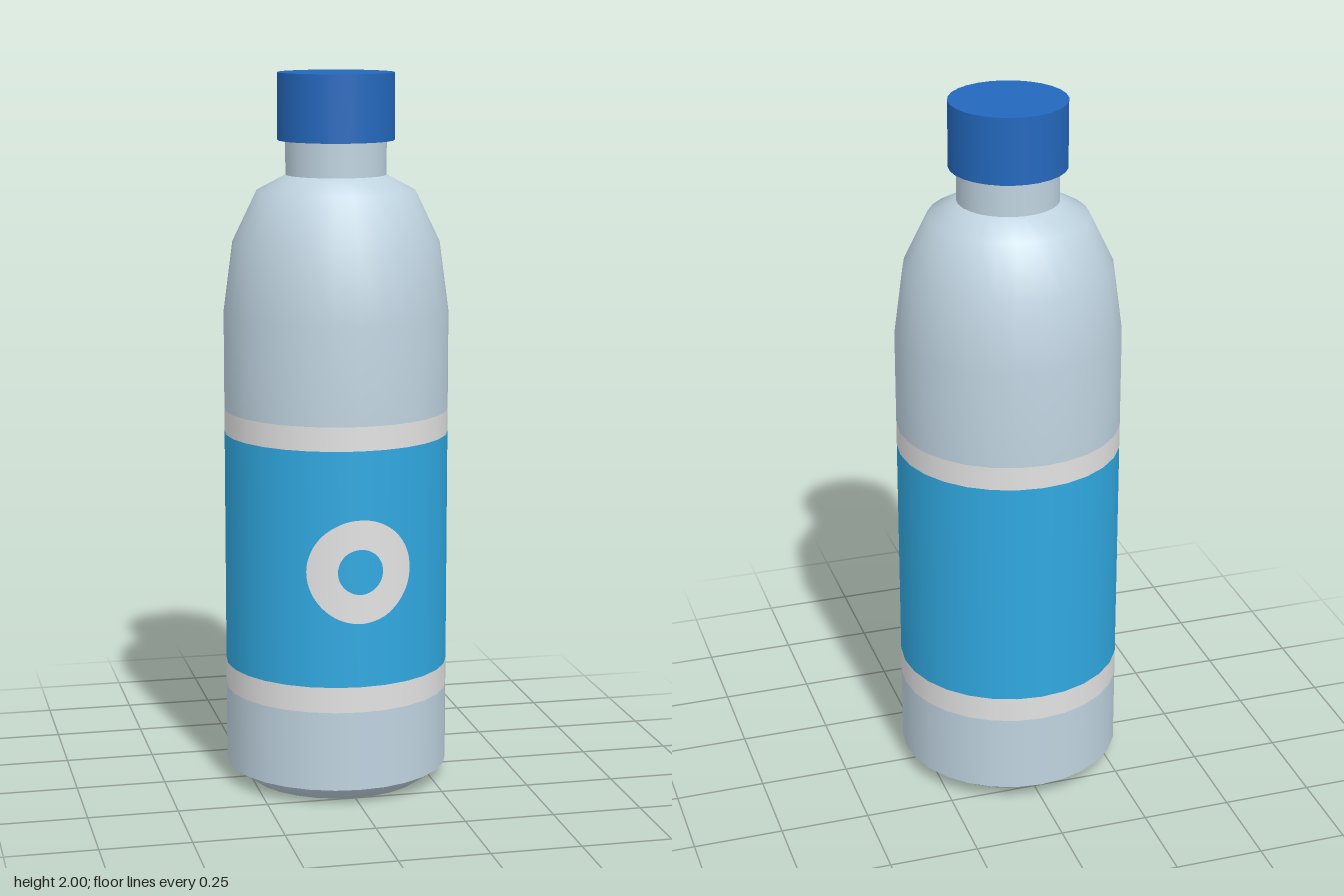
import * as THREE from 'three';

const SIDES = 28;
const R = 0.314;

function mat(name, color) {
  const m = new THREE.MeshStandardMaterial({ color });
  m.name = name;
  return m;
}

// Depth of the faceted bottle wall at a given x
function wallZ(x) {
  const step = (Math.PI * 2) / SIDES;
  const k = Math.floor(Math.asin(Math.abs(x) / R) / step);
  const x0 = R * Math.sin(k * step), x1 = R * Math.sin((k + 1) * step);
  const z0 = R * Math.cos(k * step), z1 = R * Math.cos((k + 1) * step);
  return z0 + ((z1 - z0) * (Math.abs(x) - x0)) / (x1 - x0);
}

export function createModel() {
  const group = new THREE.Group();
  const plastic = mat('pale plastic', 0xbfd3e0);
  const blue = mat('label blue', 0x30a8e0);
  const white = mat('label white', 0xe2e2e2);
  const capBlue = mat('cap blue', 0x2468bd);

  const add = (name, geometry, material) => {
    const mesh = new THREE.Mesh(geometry, material);
    mesh.name = name;
    group.add(mesh);
    return mesh;
  };
  // Each turned section is separate, so its borders stay sharp
  const turn = (name, profile, material) =>
    add(name, new THREE.LatheGeometry(profile.map(([r, y]) => new THREE.Vector2(r, y)), SIDES), material);

  // Bottle from the base up
  turn('base', [[0, 0], [0.25, 0], [R, 0.045]], plastic);
  turn('lowerBody', [[R, 0.045], [R, 0.268]], plastic);
  turn('lowerBand', [[R, 0.268], [R, 0.34]], white);
  turn('label', [[R, 0.34], [R, 1.0]], blue);
  turn('upperBand', [[R, 1.0], [R, 1.067]], white);
  turn('shoulder', [[R, 1.067], [R, 1.34], [0.288, 1.535], [0.22, 1.677], [0.14, 1.72]], plastic);
  turn('neck', [[0.14, 1.72], [0.14, 1.82]], plastic);

  // Screw cap
  add('cap', new THREE.CylinderGeometry(0.162, 0.162, 0.185, SIDES), capBlue).position.y = 1.9075;

  // Ring emblem wrapped onto the front of the label
  const ring = new THREE.RingGeometry(0.063, 0.145, 64, 8);
  const pos = ring.attributes.position, nor = ring.attributes.normal;
  for (let i = 0; i < pos.count; i++) {
    const x = pos.getX(i);
    pos.setZ(i, wallZ(x) + 0.003);
    nor.setXYZ(i, x / R, 0, Math.sqrt(1 - (x / R) ** 2));
  }
  add('ringEmblem', ring, white).position.y = 0.665;

  return group;
}
